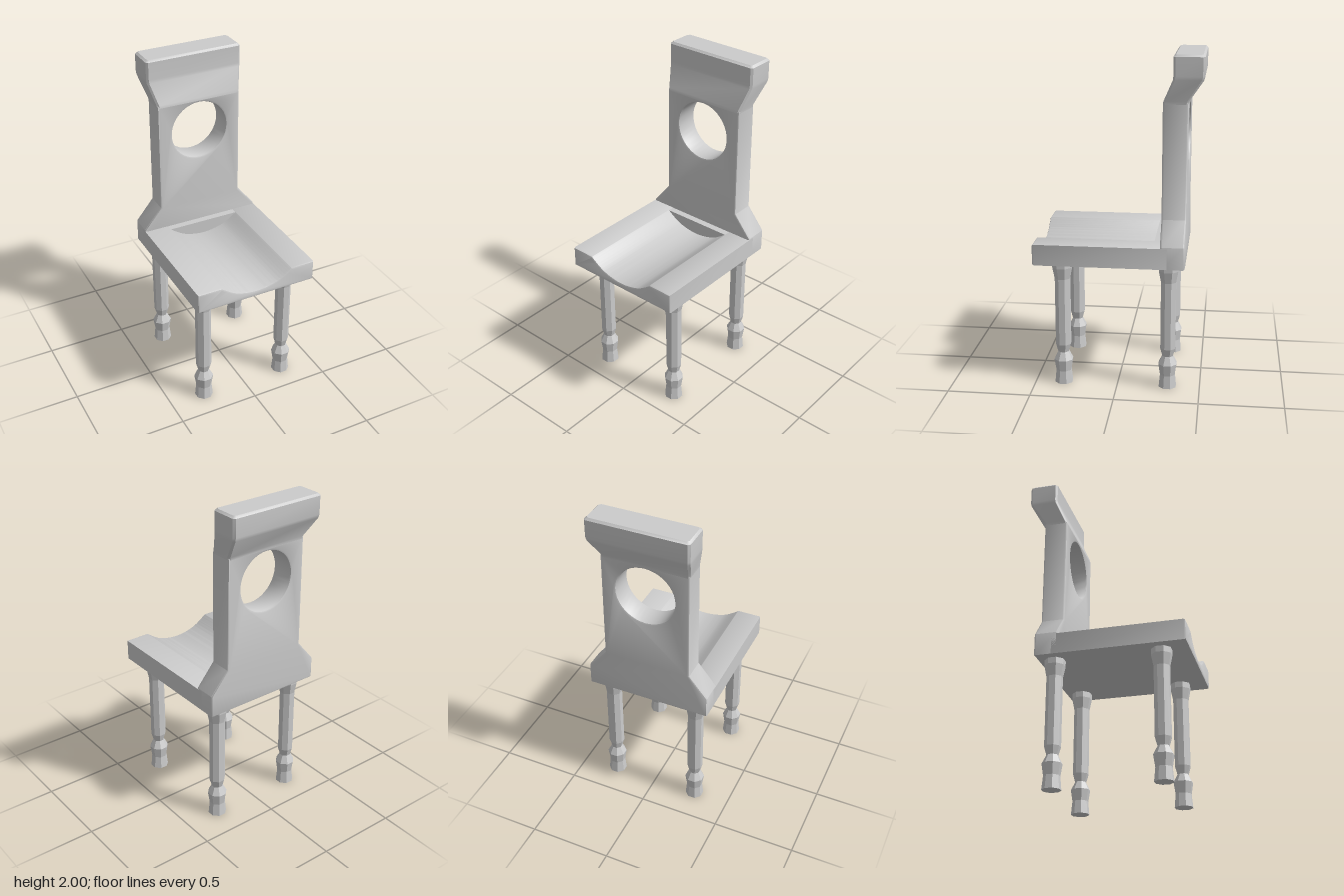
import * as THREE from 'three';
import { toCreasedNormals, mergeVertices } from 'three/addons/utils/BufferGeometryUtils.js';

const BEVEL = 0.012;

// Extrude a front-facing shape between two depths, with slightly softened edges
function slab(shape, zBack, zFront) {
  const geometry = new THREE.ExtrudeGeometry(shape, {
    depth: zFront - zBack - 2 * BEVEL, curveSegments: 20,
    bevelEnabled: true, bevelThickness: BEVEL, bevelSize: BEVEL, bevelOffset: -BEVEL, bevelSegments: 2,
  });
  geometry.translate(0, 0, zBack + BEVEL);
  return toCreasedNormals(geometry, 0.7);
}

// Loft chamfered rectangles given as [y, halfWidth, zFront, zBack]
function loft(rows) {
  const pos = [], index = [], n = 8, c = BEVEL;
  for (const [y, w, f, b] of rows) {
    const ring = [[w - c, f], [w, f - c], [w, b + c], [w - c, b], [c - w, b], [-w, b + c], [-w, f - c], [c - w, f]];
    for (const [x, z] of ring) pos.push(x, y, z);
  }
  for (let r = 0; r < rows.length - 1; r++) {
    for (let i = 0; i < n; i++) {
      const a = r * n + i, b = r * n + (i + 1) % n;
      index.push(a, b, b + n, a, b + n, a + n);
    }
  }
  const top = (rows.length - 1) * n;
  for (let i = 1; i < n - 1; i++) {
    index.push(top, top + i, top + i + 1, 0, i + 1, i);
  }
  const geometry = new THREE.BufferGeometry();
  geometry.setAttribute('position', new THREE.Float32BufferAttribute(pos, 3));
  geometry.setIndex(index);
  return toCreasedNormals(mergeVertices(geometry), 0.6);
}

export function createModel() {
  const chair = new THREE.Group();
  chair.name = 'chair';
  const smooth = new THREE.MeshStandardMaterial({ color: 0xcccccc });
  const faceted = new THREE.MeshStandardMaterial({ color: 0xcccccc, flatShading: true });

  function add(name, geometry, material = smooth) {
    const mesh = new THREE.Mesh(geometry, material);
    mesh.name = name;
    chair.add(mesh);
    return mesh;
  }

  // Seat with a scooped trough running to the front edge
  const seat = new THREE.Shape();
  seat.moveTo(-0.382, 0.776);
  seat.lineTo(0.382, 0.776);
  seat.lineTo(0.382, 0.902);
  seat.lineTo(0.23, 0.902);
  seat.splineThru([[0.13, 0.84], [0, 0.816], [-0.13, 0.84], [-0.23, 0.902]].map(p => new THREE.Vector2(...p)));
  seat.lineTo(-0.382, 0.902);
  seat.closePath();
  add('seat', slab(seat, -0.31, 0.493));

  // Block closing the rear end of the trough
  const stop = new THREE.BoxGeometry(0.48, 0.1, 0.1);
  stop.translate(0, 0.851, -0.265);
  add('troughEnd', stop);

  // Backrest panel, flared at the base, with a round opening
  const panel = new THREE.Shape([
    [-0.382, 0.776], [0.382, 0.776], [0.382, 0.91], [0.27, 1.045],
    [0.268, 1.73], [-0.268, 1.73], [-0.27, 1.045], [-0.382, 0.91],
  ].map(p => new THREE.Vector2(...p)));
  const hole = new THREE.Path();
  hole.absarc(0, 1.525, 0.18, 0, Math.PI * 2, true);
  panel.holes.push(hole);
  add('backrest', slab(panel, -0.403, -0.257));

  // Top rail, leaning back and widening from the panel
  add('topRail', loft([
    [1.718, 0.268, -0.257, -0.403],
    [1.735, 0.27, -0.26, -0.405],
    [1.86, 0.303, -0.314, -0.488],
    [1.88, 0.305, -0.316, -0.493],
    [1.988, 0.305, -0.316, -0.493],
    [2.0, 0.293, -0.328, -0.481],
  ]));

  // Four turned, faceted legs
  const profile = [
    [0, 0], [0.056, 0], [0.048, 0.08], [0.059, 0.15], [0.034, 0.2],
    [0.048, 0.25], [0.048, 0.67], [0.062, 0.74], [0.062, 0.79], [0, 0.79],
  ].map(p => new THREE.Vector2(...p));
  const leg = new THREE.LatheGeometry(profile, 8);
  leg.rotateY(Math.PI / 8);
  for (const [side, x] of [['Left', 0.275], ['Right', -0.275]]) {
    add('front' + side + 'Leg', leg, faceted).position.set(x, 0, 0.33);
    add('back' + side + 'Leg', leg, faceted).position.set(x, 0, -0.305);
  }
  return chair;
}
